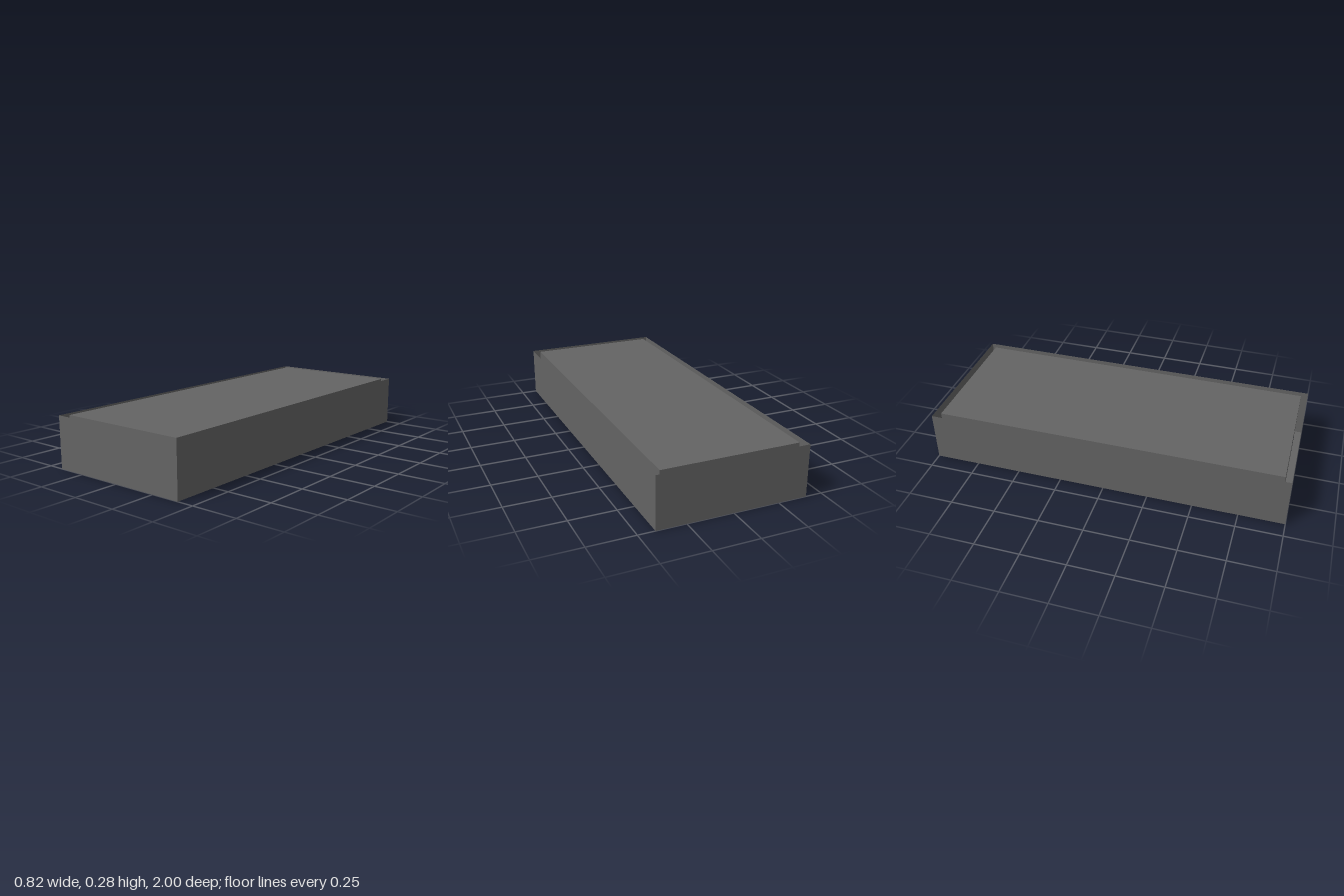
import * as THREE from 'three';

const W = 0.41, L = 1, H = 0.285;    // outer half width, half length, height
const w = 0.373, l = 0.962;          // half size of the inner tub and opening

export function createModel() {
  const model = new THREE.Group();
  const grey = new THREE.MeshStandardMaterial({ color: 0x646464 });
  grey.name = 'dark grey';
  const greySheet = new THREE.MeshStandardMaterial({ color: 0x646464, side: THREE.DoubleSide });
  greySheet.name = 'dark grey sheet';

  const add = (name, geometry, material = grey) => {
    const mesh = new THREE.Mesh(geometry, material);
    mesh.name = name;
    model.add(mesh);
    return mesh;
  };

  // Thin upright skirt around the outside
  for (const s of [-1, 1]) {
    const side = add('sideSkirt', new THREE.PlaneGeometry(2 * L, H), greySheet);
    side.rotation.y = s * Math.PI / 2;
    side.position.set(s * W, H / 2, 0);
    const end = add('endSkirt', new THREE.PlaneGeometry(2 * W, H), greySheet);
    end.rotation.y = s > 0 ? 0 : Math.PI;
    end.position.set(0, H / 2, s * L);
  }

  // Flat lip joining the skirt to the tub at the bottom
  const rect = (Type, x, z) => new Type([[-x, -z], [x, -z], [x, z], [-x, z]]
    .map(([a, b]) => new THREE.Vector2(a, b)));
  const lipShape = rect(THREE.Shape, W, L);
  lipShape.holes.push(rect(THREE.Path, w, l));
  const lip = add('bottomLip', new THREE.ShapeGeometry(lipShape), greySheet);
  lip.rotation.x = Math.PI / 2;

  // Tub section with sloping sides, drawn inset by d below
  const tub = (d, z0, z1) => {
    const shape = new THREE.Shape([
      [-0.168 + d * 0.4, d], [0.168 - d * 0.4, d], [w - d, 0.2],
      [w - d, H - d], [-w + d, H - d], [-w + d, 0.2],
    ].map(([x, y]) => new THREE.Vector2(x, y)));
    const g = new THREE.ExtrudeGeometry(shape, { depth: z1 - z0, bevelEnabled: false });
    return g.translate(0, 0, z0);
  };
  add('tubCore', tub(0.008, -l + 0.002, l - 0.002));

  // Row of boards with narrow grooves between them
  const count = 14, groove = 0.03;
  const pitch = (2 * l + groove) / count;
  for (let i = 0; i < count; i++) {
    const z = -l + i * pitch;
    add('tubBoard', tub(0.001, z, z + pitch - groove));
  }

  // Smooth top panel
  const top = add('topPanel', new THREE.BoxGeometry(2 * w, 0.085, 2 * l));
  top.position.y = H - 0.0425;
  return model;
}
